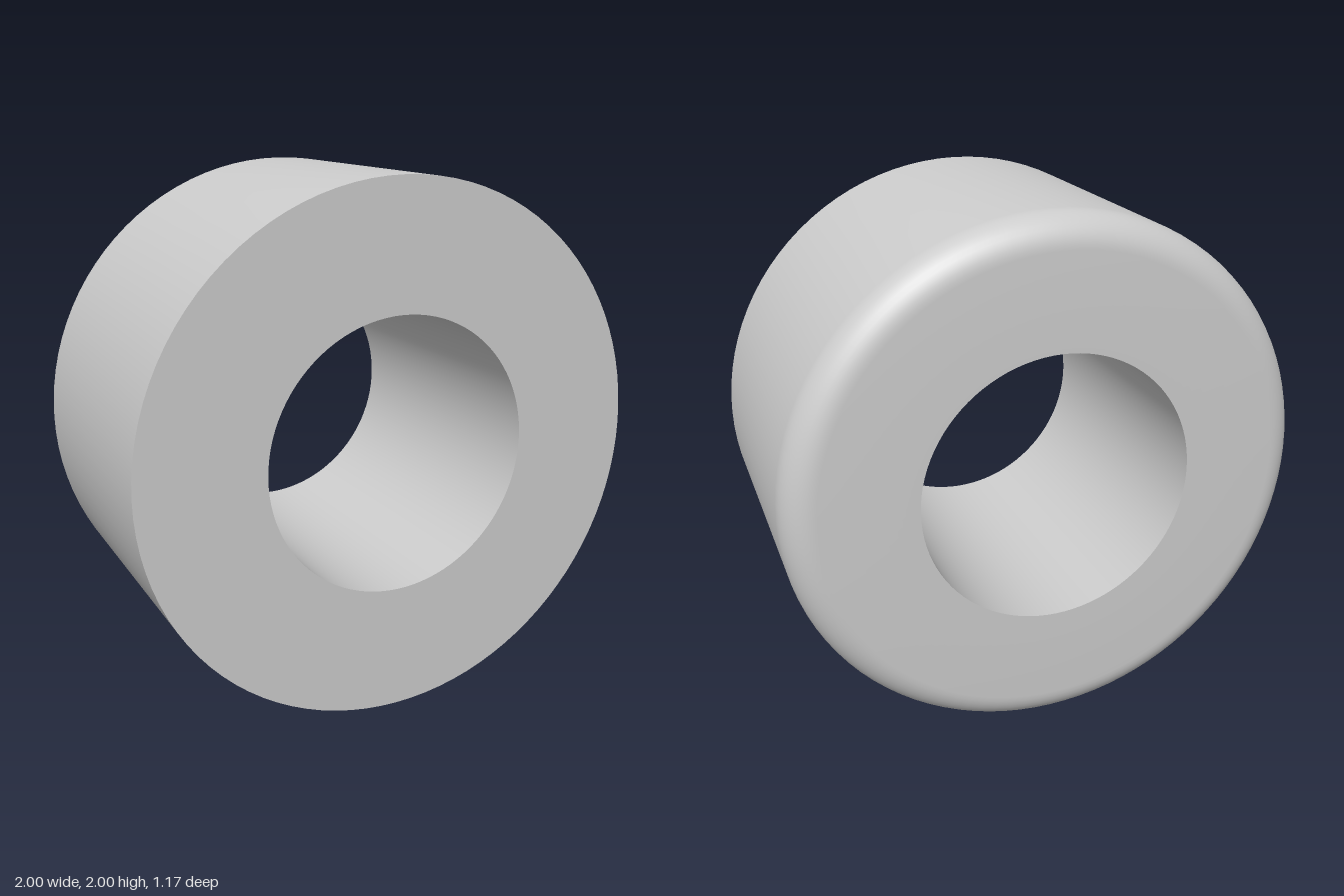
import * as THREE from 'three';
import { toCreasedNormals } from 'three/addons/utils/BufferGeometryUtils.js';

const OUTER = 1, BORE = 0.52, HALF = 0.583, FILLET = 0.12, STEPS = 10;

export function createModel() {
  const group = new THREE.Group();
  group.name = 'spacerBushing';

  // Closed cross-section (radius, axis): bore, back face, rounded back rim, wall, flat front face
  const profile = [new THREE.Vector2(BORE, HALF), new THREE.Vector2(BORE, -HALF)];
  for (let i = 0; i <= STEPS; i++) {
    const a = (i / STEPS) * Math.PI / 2;
    profile.push(new THREE.Vector2(
      OUTER - FILLET + FILLET * Math.sin(a),
      -HALF + FILLET - FILLET * Math.cos(a)
    ));
  }
  profile.push(new THREE.Vector2(OUTER, HALF), new THREE.Vector2(BORE, HALF));

  // Revolve, then turn the axis to face +z; creases keep the square edges sharp
  const lathe = new THREE.LatheGeometry(profile, 96).rotateX(Math.PI / 2);
  const ring = new THREE.Mesh(
    toCreasedNormals(lathe, Math.PI / 6),
    new THREE.MeshStandardMaterial({ color: 0xcccccc })
  );
  ring.name = 'ringBody';
  ring.position.y = OUTER;
  group.add(ring);
  return group;
}
